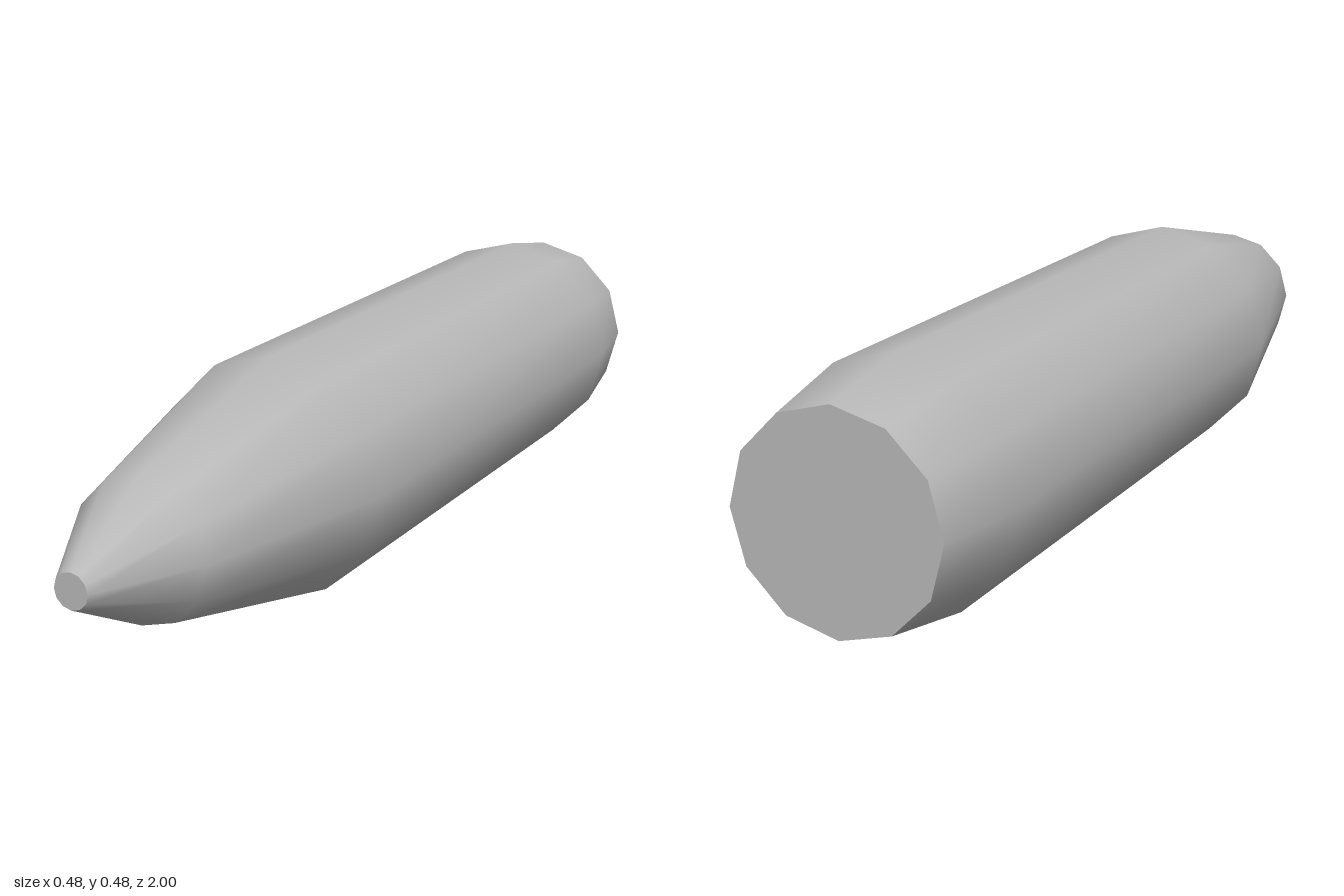
import * as THREE from 'three';

const SIDES = 12;
const AXIS_Y = 0.242;

// [radius, z] from the flat tail to the blunt tip
const PROFILE = [[0.205, -1], [0.241, -0.8], [0.241, 0.35], [0.137, 0.8], [0.034, 1]];

export function createModel() {
  const group = new THREE.Group();
  group.name = 'bullet';
  const metal = new THREE.MeshStandardMaterial({ color: 0xb8b8b8 });
  metal.name = 'grey metal';

  const add = (name, geometry) => {
    const mesh = new THREE.Mesh(geometry, metal);
    mesh.name = name;
    mesh.position.y = AXIS_Y;
    group.add(mesh);
    return mesh;
  };

  // Smooth twelve-sided shell, turned to point forward
  const points = PROFILE.map(([r, z]) => new THREE.Vector2(r, z));
  add('shell', new THREE.LatheGeometry(points, SIDES).rotateX(Math.PI / 2));

  // Flat end faces
  const [tailRadius, tailZ] = PROFILE[0];
  const [tipRadius, tipZ] = PROFILE[PROFILE.length - 1];
  add('tailCap', new THREE.CircleGeometry(tailRadius, SIDES).rotateY(Math.PI)).position.z = tailZ;
  add('tipCap', new THREE.CircleGeometry(tipRadius, SIDES)).position.z = tipZ;

  return group;
}
